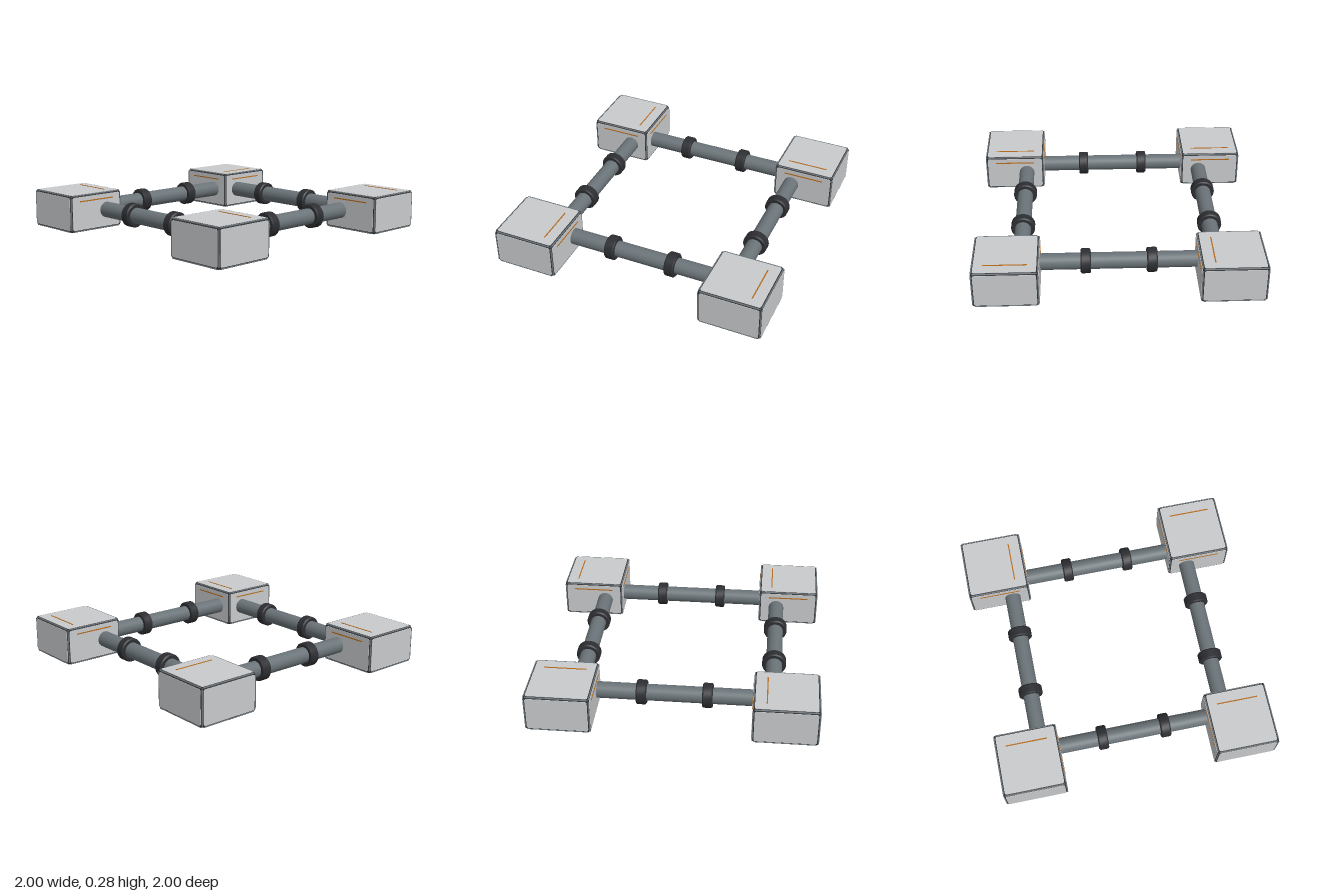
import * as THREE from 'three';
import { toCreasedNormals } from 'three/addons/utils/BufferGeometryUtils.js';
import { RoundedBoxGeometry } from 'three/addons/geometries/RoundedBoxGeometry.js';

const W = 0.45, H = 0.27, MID = 0.143, POS = 0.772, RAIL = 0.68;

function material(name, color) {
  const m = new THREE.MeshStandardMaterial({ color });
  m.name = name;
  return m;
}

function add(parent, name, geometry, mat, x = 0, y = 0, z = 0) {
  const mesh = new THREE.Mesh(geometry, mat);
  mesh.name = name;
  mesh.position.set(x, y, z);
  parent.add(mesh);
  return mesh;
}

// Thin plate with rounded corners, lying in the xy plane and facing +z
function plate(w, h, r, depth) {
  const x = w / 2, y = h / 2, s = new THREE.Shape();
  s.moveTo(-x + r, -y);
  s.lineTo(x - r, -y);
  s.absarc(x - r, -y + r, r, -Math.PI / 2, 0);
  s.absarc(x - r, y - r, r, 0, Math.PI / 2);
  s.absarc(-x + r, y - r, r, Math.PI / 2, Math.PI);
  s.absarc(-x + r, -y + r, r, Math.PI, Math.PI * 1.5);
  return new THREE.ExtrudeGeometry(s, { depth, bevelEnabled: false, curveSegments: 5 });
}

export function createModel() {
  const model = new THREE.Group();
  model.name = 'squareFrame';
  const shell = material('lightGrey', 0xc8cacc);
  const dark = material('charcoal', 0x2d2e32);
  const steel = material('slate', 0x6a7378);
  const orange = material('orange', 0xb86a18);

  const bodyGeo = new RoundedBoxGeometry(W, H, W, 3, 0.014);
  const sideGeo = plate(W - 0.026, H - 0.026, 0.014, 0.005);
  const topGeo = plate(W - 0.026, W - 0.026, 0.014, 0.005);

  // One corner box; topStrip and bottomStrip give the strip axis and its world offset
  function cornerBox(sx, sz, topStrip, bottomStrip) {
    const g = new THREE.Group();
    g.name = 'cornerBox';
    g.position.set(sx * POS, MID, sz * POS);
    model.add(g);
    add(g, 'edgeFrame', bodyGeo, dark);

    // Side panels
    for (let i = 0; i < 4; i++) {
      const a = i * Math.PI / 2, d = W / 2 - 0.002;
      add(g, 'sidePanel', sideGeo, shell, Math.sin(a) * d, 0, Math.cos(a) * d).rotation.y = a;
    }
    // Top and bottom panels
    for (const s of [1, -1]) add(g, 'capPanel', topGeo, shell, 0, s * (H / 2 - 0.002), 0).rotation.x = -s * Math.PI / 2;

    // Slate trim along the twelve edges
    const e = W / 2 - 0.004, h = H / 2 - 0.004;
    for (const a of [-1, 1]) for (const b of [-1, 1]) {
      const round = (len) => new THREE.CylinderGeometry(0.005, 0.005, len, 8);
      add(g, 'edgeTrim', round(H - 0.03), steel, a * e, 0, b * e);
      add(g, 'edgeTrim', round(W - 0.03), steel, a * e, b * h, 0).rotation.x = Math.PI / 2;
      add(g, 'edgeTrim', round(W - 0.03), steel, 0, b * h, a * e).rotation.z = Math.PI / 2;
    }

    // Strips on the two inward faces
    add(g, 'accentStrip', new THREE.BoxGeometry(0.006, 0.008, 0.3), orange, -sx * (W / 2 + 0.003), 0.088, 0);
    add(g, 'accentStrip', new THREE.BoxGeometry(0.3, 0.008, 0.006), orange, 0, 0.088, -sz * (W / 2 + 0.003));
    // Strips on the top and bottom
    [[topStrip, 1], [bottomStrip, -1]].forEach(([[axis, off], s]) => {
      const y = s * (H / 2 + 0.003);
      if (axis === 'z') add(g, 'accentStrip', new THREE.BoxGeometry(0.008, 0.006, 0.3), orange, off, y, 0);
      else add(g, 'accentStrip', new THREE.BoxGeometry(0.3, 0.006, 0.008), orange, 0, y, off);
    });
  }
  cornerBox(-1, -1, ['z', 0.132], ['z', 0.132]);
  cornerBox(1, -1, ['x', 0.132], ['x', -0.132]);
  cornerBox(-1, 1, ['z', 0.132], ['z', 0.132]);
  cornerBox(1, 1, ['z', 0.132], ['z', 0.132]);

  // Connecting tubes, each with two chamfered collars
  const tubeGeo = new THREE.CylinderGeometry(0.058, 0.058, 1.12, 32, 1, true);
  const profile = [[0.056, -0.036], [0.079, -0.036], [0.087, -0.028], [0.087, 0.028], [0.079, 0.036], [0.056, 0.036]];
  const collarGeo = toCreasedNormals(
    new THREE.LatheGeometry(profile.map(([x, y]) => new THREE.Vector2(x, y)), 32), 0.5);
  for (let i = 0; i < 4; i++) {
    const side = new THREE.Group();
    side.name = 'connector';
    side.rotation.y = i * Math.PI / 2;
    model.add(side);
    add(side, 'tube', tubeGeo, steel, 0, 0.145, RAIL).rotation.z = Math.PI / 2;
    for (const s of [-1, 1]) add(side, 'collar', collarGeo, dark, s * 0.23, 0.145, RAIL).rotation.z = Math.PI / 2;
  }
  return model;
}
